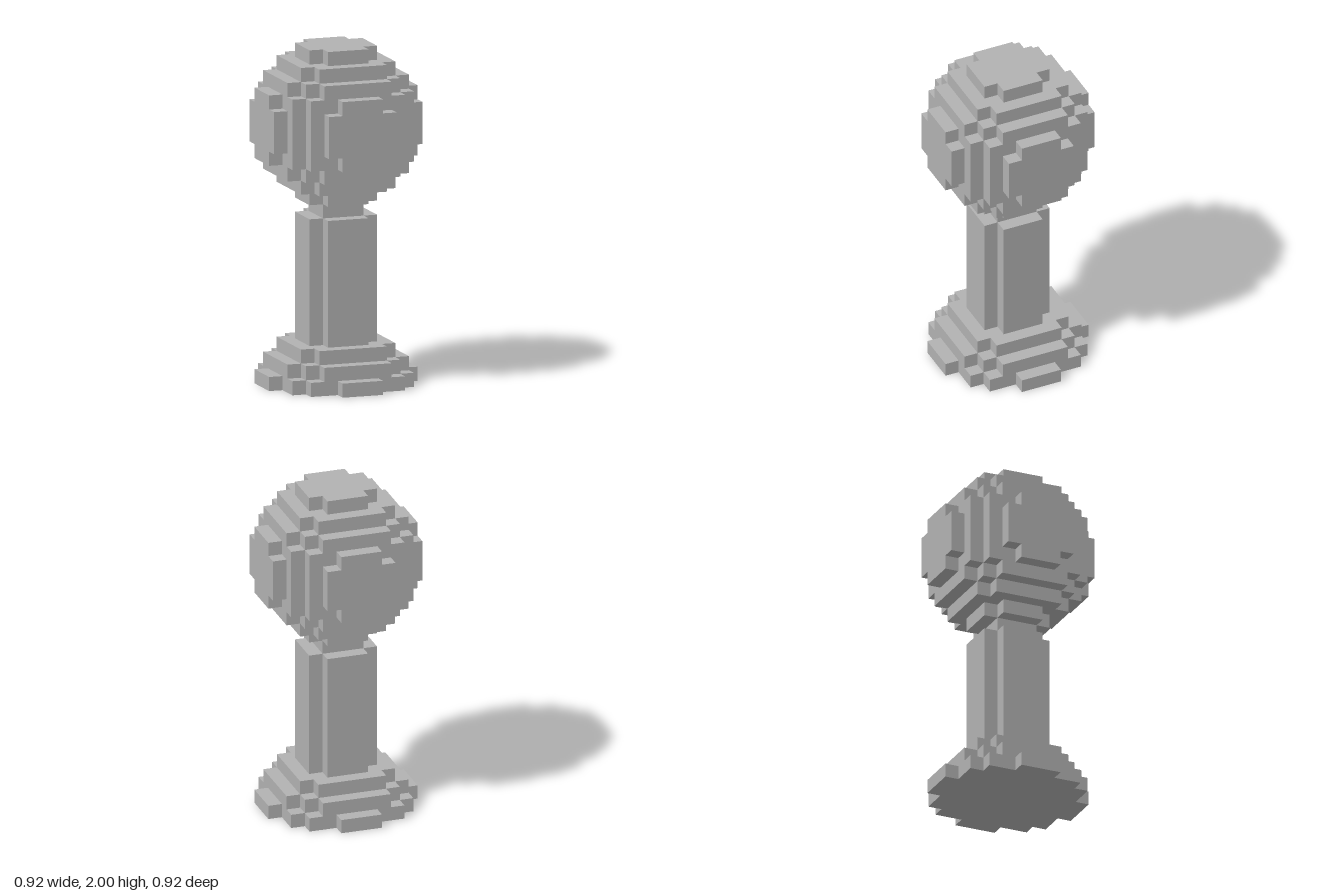
import * as THREE from 'three';

const U = 1 / 12; // edge of one block

// Stepped disc outline: every block whose centre lies within sqrt(r2)
function steppedDisc(r2) {
  const n = Math.floor(Math.sqrt(r2));
  const right = [];
  for (let j = -n; j <= n; j++) {
    const w = Math.floor(Math.sqrt(r2 - j * j));
    if (w > n) continue;
    const x = (w + 0.5) * U;
    right.push([x, (j - 0.5) * U], [x, (j + 0.5) * U]);
  }
  // drop the joints between rows of equal width
  const pts = right.filter((p, i) => {
    const a = right[i - 1], b = right[i + 1];
    return !(a && b && a[0] === p[0] && b[0] === p[0]);
  });
  const left = pts.map(([x, y]) => [-x, y]).reverse();
  return new THREE.Shape([...pts, ...left].map(([x, y]) => new THREE.Vector2(x, y)));
}

export function createModel() {
  const model = new THREE.Group();
  const stone = new THREE.MeshStandardMaterial({ color: 0xb2b2b2 });
  stone.name = 'grey stone';

  // One flat slab standing on block row y0
  function layer(parent, name, r2, y0, rows) {
    const geo = new THREE.ExtrudeGeometry(steppedDisc(r2), { depth: rows * U, bevelEnabled: false });
    geo.rotateX(-Math.PI / 2);
    const mesh = new THREE.Mesh(geo, stone);
    mesh.name = name;
    mesh.position.y = y0 * U;
    parent.add(mesh);
  }

  // Stepped base
  const base = new THREE.Group();
  base.name = 'base';
  [26, 21, 14].forEach((r2, i) => layer(base, 'baseStep' + (i + 1), r2, i, 1));
  model.add(base);

  // Column with notched corners
  layer(model, 'column', 5, 3, 9);

  // Square neck
  const neck = new THREE.Mesh(new THREE.BoxGeometry(3 * U, U, 3 * U), stone);
  neck.name = 'neck';
  neck.position.y = 12.5 * U;
  model.add(neck);

  // Block ball, layers mirrored about its middle row
  const ball = new THREE.Group();
  ball.name = 'ball';
  const middle = 18;
  layer(ball, 'ballMiddle', 30, middle - 1, 3);
  for (let d = 2; d <= 5; d++) {
    layer(ball, 'ballUpper' + d, 30 - d * d, middle + d, 1);
    layer(ball, 'ballLower' + d, 30 - d * d, middle - d, 1);
  }
  model.add(ball);

  return model;
}
